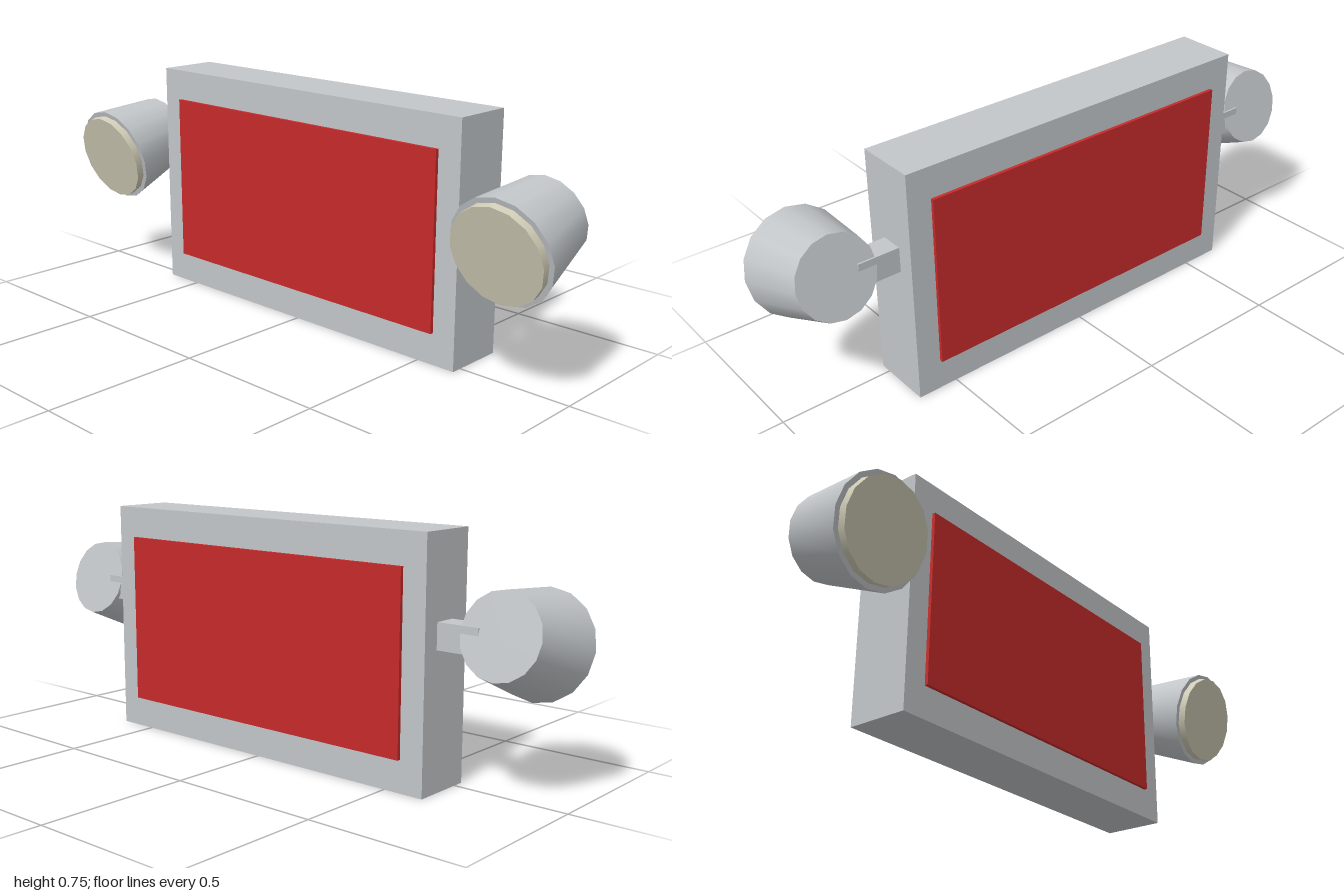
import * as THREE from 'three';

export function createModel() {
  const model = new THREE.Group();
  model.name = 'signWithLamps';

  const material = (name, color) => {
    const m = new THREE.MeshStandardMaterial({ color });
    m.name = name;
    return m;
  };
  const grey = material('lightGrey', 0xc2c6c9);
  const red = material('signRed', 0xc62a2a);
  const cream = material('lensCream', 0xd0ccb6);

  const add = (parent, name, geometry, mat, x, y, z) => {
    const mesh = new THREE.Mesh(geometry, mat);
    mesh.name = name;
    mesh.position.set(x, y, z);
    parent.add(mesh);
    return mesh;
  };

  // Sign case with a raised panel on both faces
  add(model, 'case', new THREE.BoxGeometry(1.266, 0.755, 0.2), grey, 0, 0.3775, -0.065);
  const panel = new THREE.BoxGeometry(1.11, 0.555, 0.012);
  add(model, 'frontPanel', panel, red, 0, 0.3775, 0.04);
  add(model, 'backPanel', panel, red, 0, 0.3775, -0.17);

  // Lamp heads on short arms, tilted slightly downwards
  const armGeometry = new THREE.BoxGeometry(0.134, 0.08, 0.073);
  const headGeometry = new THREE.CylinderGeometry(0.166, 0.127, 0.23, 16).rotateX(Math.PI / 2);
  const lensGeometry = new THREE.CylinderGeometry(0.15, 0.15, 0.025, 16).rotateX(Math.PI / 2);
  for (const [side, s] of [['left', 1], ['right', -1]]) {
    add(model, side + 'Arm', armGeometry, grey, s * 0.7, 0.46, -0.0715);
    const lamp = new THREE.Group();
    lamp.name = side + 'Lamp';
    lamp.position.set(s * 0.834, 0.457, 0.0055);
    lamp.rotation.x = 0.248;
    add(lamp, side + 'LampHead', headGeometry, grey, 0, 0, 0);
    add(lamp, side + 'Lens', lensGeometry, cream, 0, 0, 0.1275);
    model.add(lamp);
  }

  return model;
}
